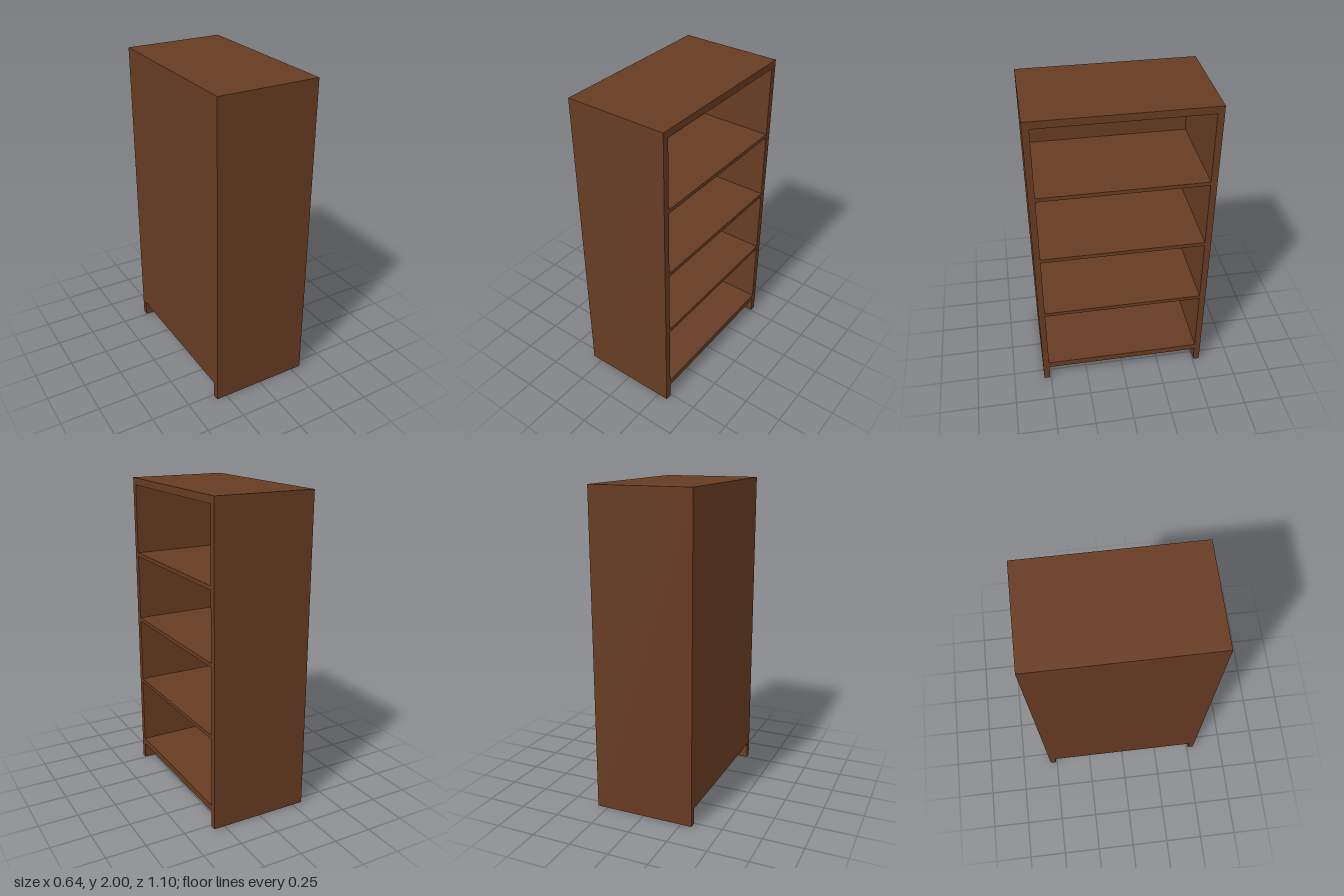
import * as THREE from 'three';

const WIDTH = 0.64, HEIGHT = 2, LENGTH = 1.095;
const SIDE = 0.04, SHELF = 0.025, BACK = 0.025, BASE_Y = 0.105;

export function createModel() {
  const group = new THREE.Group();
  group.name = 'bookcase';
  const wood = new THREE.MeshStandardMaterial({ color: 0x673b22 });
  wood.name = 'brown wood';

  // Board spanning the given ranges on each axis
  const board = (name, [x0, x1], [y0, y1], [z0, z1]) => {
    const mesh = new THREE.Mesh(new THREE.BoxGeometry(x1 - x0, y1 - y0, z1 - z0), wood);
    mesh.position.set((x0 + x1) / 2, (y0 + y1) / 2, (z0 + z1) / 2);
    mesh.name = name;
    group.add(mesh);
  };

  const hx = WIDTH / 2, hz = LENGTH / 2, inner = hz - SIDE;
  const depth = [-hx + BACK, hx], span = [-inner, inner];

  // Side panels reach the floor and act as feet
  board('frontSidePanel', [-hx, hx], [0, HEIGHT], [inner, hz]);
  board('rearSidePanel', [-hx, hx], [0, HEIGHT], [-hz, -inner]);

  // Closed back, open toward +x
  board('backPanel', [-hx, -hx + BACK], [BASE_Y, HEIGHT], span);

  // Top, bottom and three evenly spaced shelves
  board('topPanel', depth, [HEIGHT - 0.045, HEIGHT], span);
  board('bottomPanel', depth, [BASE_Y, 0.147], span);
  for (let i = 0; i < 3; i++) {
    const y = 0.588 + i * 0.45;
    board('shelf' + (i + 1), depth, [y, y + SHELF], span);
  }
  return group;
}
